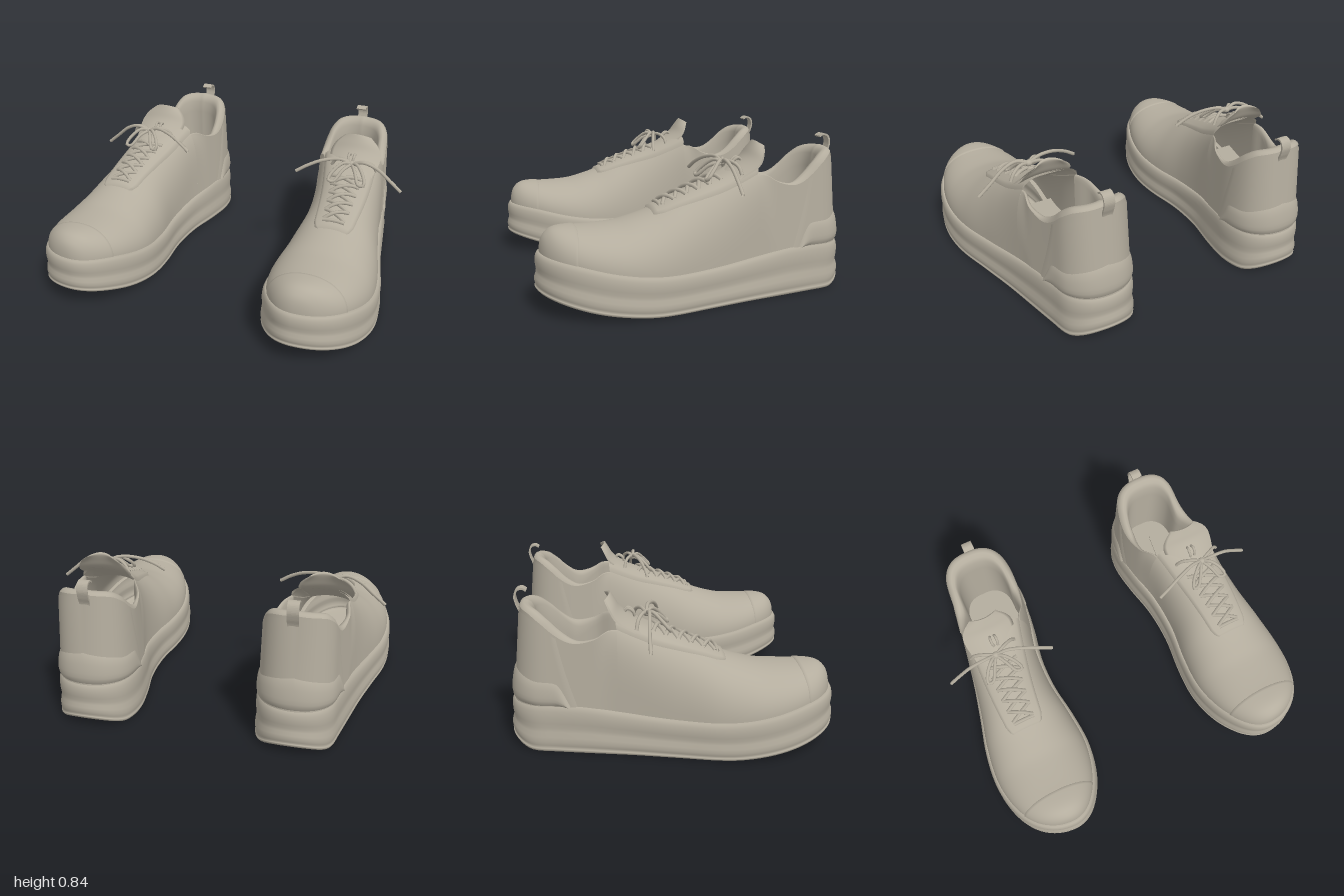
import * as THREE from 'three';
import { mergeVertices } from 'three/addons/utils/BufferGeometryUtils.js';

const { lerp, smoothstep } = THREE.MathUtils;
const RAD = Math.PI / 180;

// smooth function through [x, y] points
const spline = pts => x => {
  const n = pts.length - 1;
  x = Math.min(Math.max(x, pts[0][0]), pts[n][0]);
  let i = 0;
  while (i < n - 1 && x > pts[i + 1][0]) i++;
  const slope = k => {
    const a = pts[Math.max(k - 1, 0)], b = pts[Math.min(k + 1, n)];
    return (b[1] - a[1]) / (b[0] - a[0]);
  };
  const [x0, y0] = pts[i], [x1, y1] = pts[i + 1], d = x1 - x0, t = (x - x0) / d;
  const t2 = t * t, t3 = t2 * t;
  return y0 * (2 * t3 - 3 * t2 + 1) + y1 * (3 * t2 - 2 * t3)
    + d * (slope(i) * (t3 - 2 * t2 + t) + slope(i + 1) * (t3 - t2));
};

// surface from a rule (u, v) -> [x, y, z]
function grid(nu, nv, fn) {
  const pos = [], idx = [];
  for (let i = 0; i <= nu; i++) for (let j = 0; j <= nv; j++) pos.push(...fn(i / nu, j / nv, j));
  for (let i = 0; i < nu; i++) for (let j = 0; j < nv; j++) {
    const a = i * (nv + 1) + j, b = a + nv + 1;
    idx.push(a, b, b + 1, a, b + 1, a + 1);
  }
  const g = new THREE.BufferGeometry();
  g.setAttribute('position', new THREE.Float32BufferAttribute(pos, 3));
  g.setIndex(idx);
  const m = mergeVertices(g, 1e-5);
  m.computeVertexNormals();
  return m;
}

// plan of the shoe by angle in degrees: 0 = toe, 180 = heel
const L = 0.867;
const halfWidth = spline([[0, 0], [15, .114], [30, .21], [45, .28], [60, .314], [75, .301], [90, .26],
  [105, .237], [120, .237], [135, .23], [150, .2], [165, .119], [180, 0]]);
const centre = spline([[0, .66], [15, .676], [30, .687], [45, .687], [60, .684], [75, .679], [90, .665], [105, .635],
  [120, .595], [135, .568], [150, .566], [165, .567], [180, .567]]);
// heights: sole by z, the rest by angle
const soleBottom = spline([[-.87, .055], [-.8, .015], [-.74, 0], [.25, 0], [.4, .012], [.6, .042], [.8, .092], [.87, .112]]);
const soleTop = spline([[-.87, .255], [-.5, .255], [-.3, .232], [-.1, .21], [.1, .2], [.3, .205], [.5, .235], [.7, .28], [.87, .305]]);
const ridge = spline([[0, .292], [5, .335], [10, .37], [15, .395], [22, .42], [30, .43], [45, .43], [55, .435],
  [60, .445], [70, .485], [80, .545], [90, .6], [100, .65], [111, .715]]);
const roundness = spline([[0, 2], [45, 2.15], [75, 2.1], [95, 2.6], [111, 4]]);
const rim = spline([[111, .68], [118, .625], [127, .592], [133, .602], [140, .645], [147, .695], [158, .742], [180, .76]]);
const rimInset = spline([[111, .045], [125, .042], [140, .045], [155, .055], [180, .075]]);
const padding = spline([[111, .3], [121, .4], [128, .7], [136, 1], [180, 1]]);
const counterTop = spline([[130, .255], [133, .325], [136, .38], [139, .396], [150, .403], [162, .43], [180, .46]]);

const fold = deg => (deg > 180 ? 360 - deg : deg);
function plan(deg, inset) {
  const s = Math.sin(deg * RAD), f = fold(deg);
  return [centre(f) + Math.sign(s) * Math.max(halfWidth(f) - inset * Math.abs(s), 0), (L - inset) * Math.cos(deg * RAD)];
}

// arched cross-section of the vamp; a = 0..PI runs over the top
function arch(deg, a, off = 0) {
  const f = fold(deg), n = roundness(f), z = (.835 + off) * Math.cos(f * RAD), b = soleTop(z) - .01;
  const w = Math.max(halfWidth(f) - (.03 - off) * Math.sin(f * RAD), 0), c = Math.cos(a);
  return [centre(f) + w * Math.sign(c) * Math.abs(c) ** (2 / n),
    b + Math.max(ridge(f) + off - b, 0) * Math.max(Math.sin(a), 0) ** (2 / n), z];
}
// point on the vamp at a sideways distance from its ridge
function onVamp(deg, dx, off) {
  const w = halfWidth(deg) - .03 * Math.sin(deg * RAD);
  const r = Math.min(Math.abs(dx) / w, 1) ** (roundness(deg) / 2);
  return arch(deg, dx > 0 ? Math.acos(r) : Math.PI - Math.acos(r), off);
}
const angleAt = z => Math.acos(z / .835) / RAD;

// quarter wall round the heel, blending out of the vamp section
function wall(deg, v, off = 0) {
  const f = fold(deg), k = smoothstep(f, 111, 120);
  const inset = lerp(lerp(.03, .024, k), rimInset(f), v) - off;
  const [x, z] = plan(deg, inset), y = lerp(soleTop(z) - .01, rim(f), v);
  const end = Math.acos(.8 ** (roundness(f) / 2)) * v;
  const s = arch(f, deg > 180 ? Math.PI - end : end, off);
  return [lerp(s[0], x, k), lerp(s[1], y, k), lerp(s[2], z, k)];
}

const tube = (pts, r = .01) => new THREE.TubeGeometry(
  new THREE.CatmullRomCurve3(pts.map(p => new THREE.Vector3(...p))), 20, r, 7);

function shoeParts() {
  const parts = [];
  const add = (name, g) => parts.push([name, g]);

  // thick sole: inset and height fraction per layer; the first layer closes the underside
  const layers = [[9, 0], [.03, 0], [.008, .01], [.002, .04], [.002, .075], [.009, .09], [.004, .14], [0, .22], [.002, .32],
    [.009, .43], [.011, .52], [.007, .62], [.005, .75], [.008, .88], [.016, .97], [.026, 1], [.06, 1]];
  add('sole', grid(112, layers.length - 1, (u, v, j) => {
    const [inset, t] = layers[j];
    let [x, z] = plan(u * 360, inset > 1 ? .03 : inset);
    if (inset > 1) x = centre(fold(u * 360));
    return [x, lerp(soleBottom(z), soleTop(z), t), z];
  }));

  // vamp and raised toe cap
  add('vamp', grid(60, 40, (u, v) => arch(111 * u, Math.PI * v)));
  add('toeCap', grid(28, 40, (u, v) => {
    const a = Math.PI * v, end = 38 - 3 * Math.cos(a) ** 2;
    return arch(end * Math.min(u * 28 / 27, 1), a, u > .99 ? -.004 : .005);
  }));

  // heel quarters, padded collar with lining, and heel overlays
  add('quarter', grid(72, 14, (u, v) => wall(111 + 138 * u, v)));
  const roll = [[0, 0], [.008, .01], [.022, .016], [.04, .014], [.06, 0], [.075, -.03], [.08, -.1], [.08, -9]];
  add('collar', grid(72, roll.length - 1, (u, v, j) => {
    const deg = 111 + 138 * u, th = padding(fold(deg)), p = wall(deg, 1, -roll[j][0] * th);
    const y = wall(deg, 1)[1];
    return [p[0], Math.max(y + roll[j][1] * th, .3), p[2]];
  }));
  add('heelPanel', grid(48, 12, (u, v) => {
    const start = 126 + 11 * v, edge = u < .001 || u > .999;
    return wall(start + (360 - 2 * start) * u, v * .97, edge ? -.003 : .005);
  }));
  const bulge = [-.005, .014, .02, .021, .02, .018, .014, .006, -.008];
  add('heelCounter', grid(72, 8, (u, v, j) => {
    const deg = 130 + 100 * u, f = fold(deg);
    const y = lerp(.245, counterTop(f), v);
    const p = wall(deg, (y - .245) / (rim(f) - .245), bulge[j]);
    return [p[0], y, p[2]];
  }));

  // insole with a thin arched pad
  add('insole', grid(40, 2, (u, v) => {
    const f = 85 + 95 * u, w = Math.max(halfWidth(f) - .055 * Math.sin(f * RAD), 0);
    return [centre(f) + w * (1 - 2 * v), .31, (L - .055) * Math.cos(f * RAD)];
  }));
  const pad = new THREE.Shape();
  pad.moveTo(-.07, -.2).lineTo(.07, -.2).lineTo(.045, .26).absarc(0, .26, .045, 0, Math.PI, false).lineTo(-.07, -.2);
  add('insolePad', new THREE.ExtrudeGeometry(pad, { depth: .009, bevelEnabled: false })
    .rotateX(-Math.PI / 2).rotateY(-.08).translate(.595, .31, -.32));

  // tongue: z, y, half width, thickness
  const stations = [[-.08, .61, .12, .02], [-.17, .67, .135, .025], [-.235, .71, .15, .025], [-.275, .745, .15, .025],
    [-.3, .785, .128, .022], [-.322, .822, .085, .016], [-.326, .826, .08, 0]];
  const tz = [0, 1, 2, 3].map(k => spline(stations.map((s, i) => [i, s[k]])));
  add('tongue', grid(24, 32, (u, v) => {
    const [z, y, w, th] = tz.map(f => f(u * 6));
    const back = v > .5, t = back ? 4 * v - 3 : 1 - 4 * v, drop = t * t;
    const e = back ? th * (1 - drop * .6) : 0;
    return [lerp(.655, .64, u) + w * t, y - .022 * drop - e * .6, z - .03 * drop - e * .8];
  }));

  // raised lacing panel, narrowing at its rounded front end
  const a0 = angleAt(.27), a1 = angleAt(-.3);
  add('lacePanel', grid(40, 24, (u, v) => {
    const w = lerp(.11, .165, u) * (.78 + .22 * Math.sqrt(Math.min(u / .1, 1)));
    const border = u < .001 || v < .001 || v > .999;
    return onVamp(lerp(a0, a1, u), w * (1 - 2 * v), border ? -.003 : .01);
  }));

  // crossed laces
  const rows = 5, rowZ = i => lerp(.21, -.11, i / rows), rowW = i => lerp(.06, .085, i / rows);
  for (let i = 0; i < rows; i++) for (const s of [-1, 1]) {
    const pts = [0, .25, .5, .75, 1].map(t => onVamp(angleAt(lerp(rowZ(i), rowZ(i + 1), t)),
      s * lerp(-rowW(i), rowW(i + 1), t), .01 + (s > 0 ? .015 : .005) * Math.sin(t * Math.PI)));
    add('lace', tube(pts, .011));
  }
  add('lace', tube([-1, -.5, 0, .5, 1].map(t => onVamp(angleAt(.22), t * .06, .013)), .011));

  // bow: knot, drooping loops, stays and free ends
  const K = [.668, .715, -.14];
  add('laceKnot', new THREE.SphereGeometry(.02, 14, 10).scale(1.2, .9, 1).translate(...K));
  for (const s of [-1, 1]) {
    const at = (x, y, z) => [K[0] + s * x, K[1] + y, K[2] + z];
    add('bowLoop', tube([K, at(.04, .012, .03), at(.09, -.03, .08), at(.105, -.07, .115), at(.075, -.075, .115),
      at(.035, -.02, .06), K]));
    add('laceStay', tube([K, at(.06, .012, -.025), at(.11, -.01, -.05), at(.135, -.05, -.06)]));
    add('tongueLoop', tube([at(.012 - s * .025, -.02, -.06), at(.016 - s * .025, .005, -.07), at(.016 - s * .025, .02, -.095),
      at(.012 - s * .025, .005, -.115)], .008));
  }
  add('laceEnd', tube([K, [.6, .738, -.13], [.5, .725, -.1], [.42, .69, -.075], [.355, .648, -.06]]));
  add('laceEnd', tube([K, [.74, .738, -.13], [.82, .71, -.135], [.9, .645, -.14], [.966, .59, -.14]]));

  // pull tab at the back of the collar
  const tab = new THREE.CatmullRomCurve3([[-.8, .66], [-.803, .71], [-.818, .75], [-.826, .79], [-.812, .828], [-.78, .838], [-.757, .825]]
    .map(([z, y]) => new THREE.Vector3(z, y, 0))).getPoints(30);
  const inner = tab.map((p, i) => {
    const d = tab[Math.min(i + 1, 30)].clone().sub(tab[Math.max(i - 1, 0)]).normalize();
    return new THREE.Vector2(p.x + d.y * .01, p.y - d.x * .01);
  });
  const strip = new THREE.Shape([...tab.map(p => new THREE.Vector2(p.x, p.y)), ...inner.reverse()]);
  add('pullTab', new THREE.ExtrudeGeometry(strip, { depth: .06, bevelEnabled: false })
    .rotateY(-Math.PI / 2).translate(.58, 0, 0));
  return parts;
}

// mirrored copy with corner order restored
function mirrored(g) {
  const m = g.index ? g.clone() : mergeVertices(g);
  m.scale(-1, 1, 1);
  const a = m.index.array;
  for (let i = 0; i < a.length; i += 3) [a[i], a[i + 1]] = [a[i + 1], a[i]];
  return m;
}

export function createModel() {
  const stone = new THREE.MeshStandardMaterial({ color: 0xb4ad9e, side: THREE.DoubleSide });
  stone.name = 'warm stone';
  const model = new THREE.Group();
  model.name = 'shoes';
  const parts = shoeParts();
  for (const left of [true, false]) {
    const shoe = new THREE.Group();
    shoe.name = left ? 'leftShoe' : 'rightShoe';
    for (const [name, g] of parts) {
      const mesh = new THREE.Mesh(left ? g : mirrored(g), stone);
      mesh.name = name;
      shoe.add(mesh);
    }
    model.add(shoe);
  }
  return model;
}
